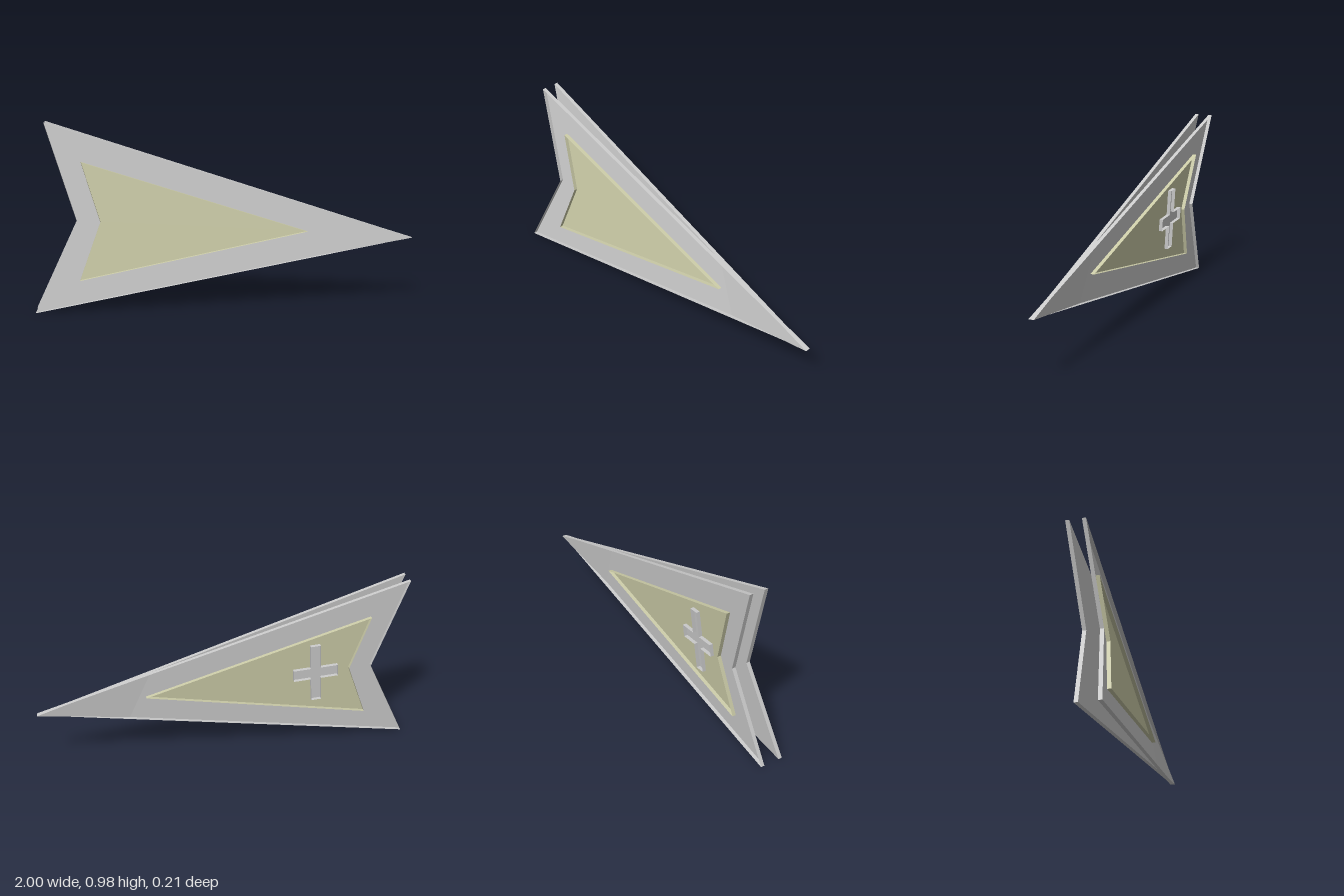
import * as THREE from 'three';
import { mergeGeometries } from 'three/addons/utils/BufferGeometryUtils.js';

const THICKNESS = 0.02;

// Outlines in x, y, counter-clockwise
const plateOutline = [[-0.94, 0.975], [-0.78, 0.465], [-1, 0], [1, 0.34]];
const panelOutline = [[-0.755, 0.77], [-0.66, 0.46], [-0.77, 0.16], [0.43, 0.385]];

// Slightly turned cross: four arms built by quarter turns of one corner set
function crossOutline(cx, cy, tall, wide, halfTallArm, halfWideArm, turn) {
  const w = halfTallArm, h = halfWideArm;
  const pts = [
    [wide, -h], [wide, h], [w, h], [w, tall], [-w, tall], [-w, h],
    [-wide, h], [-wide, -h], [-w, -h], [-w, -tall], [w, -tall], [w, -h],
  ];
  const c = Math.cos(turn), s = Math.sin(turn);
  return pts.map(([x, y]) => [cx + x * c - y * s, cy + x * s + y * c]);
}

// Shallow tray: a floor on a tilted plane with a rim rising outward, open on the outer side
function tray(name, outline, plane, side, lift, color) {
  const at = ([x, y], rise) => [x, y, plane(x, y) + side * (lift + rise)];

  const shape = new THREE.Shape(outline.map(([x, y]) => new THREE.Vector2(x, y)));
  const floor = new THREE.ShapeGeometry(shape).toNonIndexed();
  const p = floor.attributes.position;
  for (let i = 0; i < p.count; i++) p.setXYZ(i, ...at([p.getX(i), p.getY(i)], 0));

  const walls = [];
  outline.forEach((start, i) => {
    let a = start, b = outline[(i + 1) % outline.length];
    if (side < 0) [a, b] = [b, a];
    const a0 = at(a, 0), b0 = at(b, 0), a1 = at(a, THICKNESS), b1 = at(b, THICKNESS);
    walls.push(...a0, ...b0, ...b1, ...a0, ...b1, ...a1);
  });
  const rim = new THREE.BufferGeometry();
  rim.setAttribute('position', new THREE.Float32BufferAttribute(walls, 3));

  floor.deleteAttribute('uv');
  floor.deleteAttribute('normal');
  const geometry = mergeGeometries([floor, rim]);
  geometry.computeVertexNormals();
  const material = new THREE.MeshStandardMaterial({ color, side: THREE.DoubleSide });
  const mesh = new THREE.Mesh(geometry, material);
  mesh.name = name;
  return mesh;
}

export function createModel() {
  const model = new THREE.Group();
  model.name = 'doubleArrowhead';

  // Inner planes of the two plates, which spread at the tail and cross at the tip
  const frontPlane = (x, y) => 0.0584 - 0.0266 * x - 0.1092 * y;
  const backPlane = (x, y) => 0.0249 + 0.0269 * x - 0.0868 * y;

  for (const [label, plane, side] of [['front', frontPlane, 1], ['back', backPlane, -1]]) {
    const half = new THREE.Group();
    half.name = label + 'Half';
    half.add(tray(label + 'Plate', plateOutline, plane, side, 0, 0xcccccc));
    half.add(tray(label + 'Panel', panelOutline, plane, side, 0.0015, 0xcccca8));
    model.add(half);
  }

  // Cross on the back panel
  const cross = crossOutline(-0.478, 0.448, 0.175, 0.12, 0.027, 0.034, -0.075);
  model.add(tray('backCross', cross, backPlane, -1, 0.003, 0xcccccc));

  return model;
}
